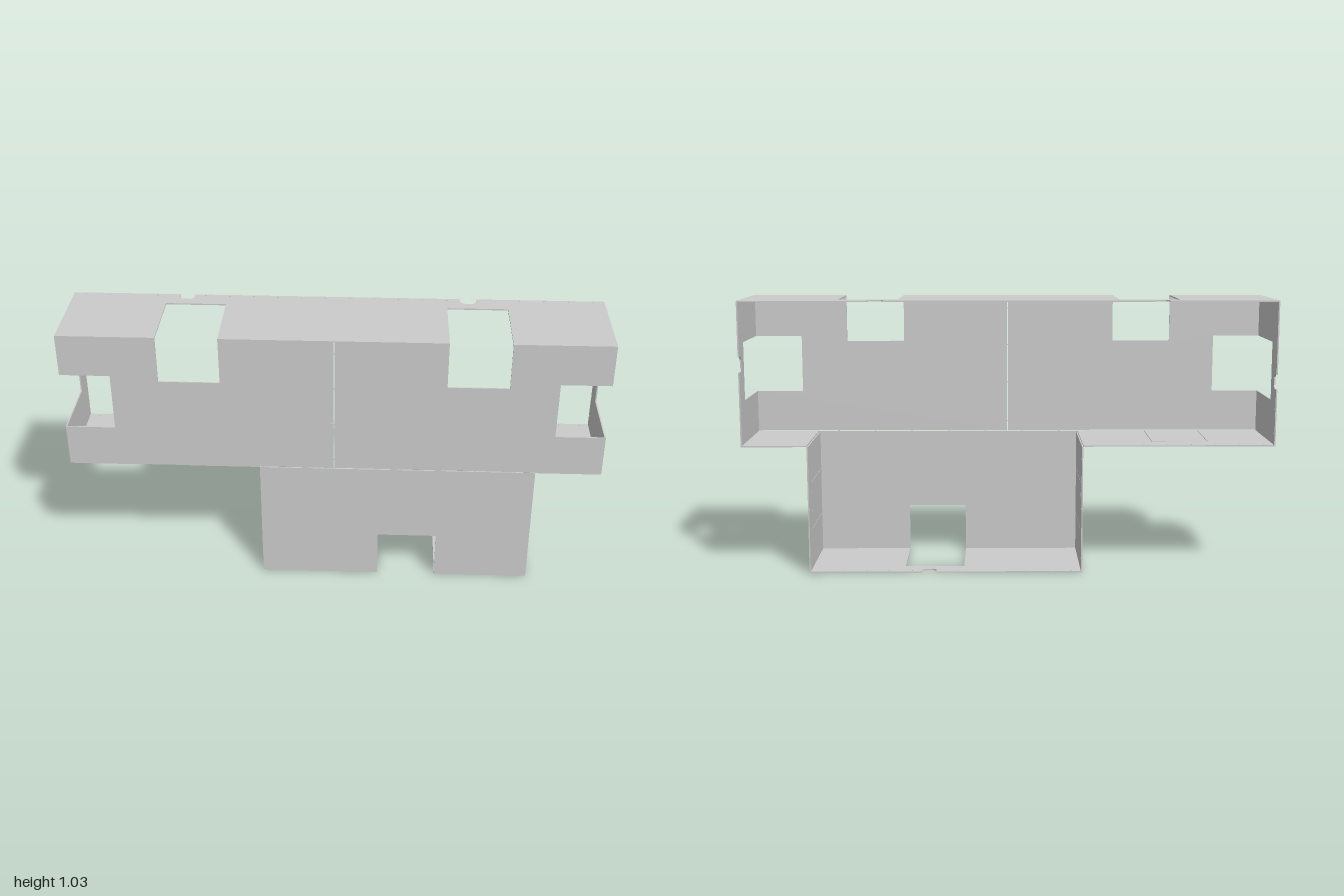
import * as THREE from 'three';

const D = 0.178;       // half depth
const T = 0.005;       // sheet thickness
const F = D - T;       // inner face of the front sheet
const GAP = 0.002;     // joint between sheets
const TOP = 1.03, MID = 0.49, LOW_L = -0.28, LOW_R = 0.755;

const material = new THREE.MeshStandardMaterial({ color: 0xcccccc, side: THREE.DoubleSide });

function sheet(points, holes = []) {
  const shape = new THREE.Shape(points.map(([x, y]) => new THREE.Vector2(x, y)));
  for (const [x, y] of holes) shape.holes.push(new THREE.Path().absarc(x, y, 0.003, 0, Math.PI * 2, true));
  return new THREE.ExtrudeGeometry(shape, { depth: T, bevelEnabled: false, curveSegments: 4 });
}

function addMesh(group, name, geometry) {
  const mesh = new THREE.Mesh(geometry, material);
  mesh.name = name;
  group.add(mesh);
  return mesh;
}

// Wall outline: u runs along the wall, v is z. Slots cut the back edge,
// windows and panels cut the front edge; a panel is refilled by a loose plate.
function wallGeometries(u0, u1, { windows = [], slots = [], panel = null, depth = -0.1 }) {
  const pts = [[u0, -D]];
  for (const [a, b] of slots) {
    const v = -0.14, c = 0.012;
    pts.push([a, -D], [a, v - c], [a + c, v], [b - c, v], [b, v - c], [b, -D]);
  }
  pts.push([u1, -D], [u1, F]);
  const cuts = panel ? [...windows, panel] : [...windows];
  cuts.sort((p, q) => q[0] - p[0]);
  for (const [a, b] of cuts) pts.push([b, F], [b, depth], [a, depth], [a, F]);
  pts.push([u0, F]);

  // pin holes along the back edge
  const pins = [];
  const count = Math.max(2, Math.round((u1 - u0) / 0.09));
  for (let i = 0; i < count; i++) {
    const u = u0 + (u1 - u0) * (i + 0.5) / count;
    if (!slots.some(([a, b]) => u > a - 0.01 && u < b + 0.01)) pins.push([u, -0.167]);
  }
  const out = [sheet(pts, pins)];
  if (panel) {
    const a = panel[0] + GAP, b = panel[1] - GAP, v0 = depth + GAP, v1 = F - GAP;
    out.push(sheet([[a, v0], [b, v0], [b, v1], [a, v1]]));
  }
  return out;
}

// Horizontal wall whose upper face is at y
function floorWall(group, name, y, x0, x1, options) {
  wallGeometries(x0, x1, options).forEach((g, i) => {
    g.rotateX(Math.PI / 2).translate(0, y, 0);
    addMesh(group, i ? name + 'Plate' : name, g);
  });
}

// Upright wall whose -x face is at x
function sideWall(group, name, x, y0, y1, options) {
  const m = new THREE.Matrix4().makeBasis(
    new THREE.Vector3(0, 1, 0), new THREE.Vector3(0, 0, 1), new THREE.Vector3(1, 0, 0));
  wallGeometries(y0, y1, options).forEach((g, i) => {
    g.applyMatrix4(m).translate(x, 0, 0);
    addMesh(group, i ? name + 'Plate' : name, g);
  });
}

export function createModel() {
  const model = new THREE.Group();
  model.name = 'openBackHousing';

  // Front sheets: two upper halves and one lower, with thin joints between
  const front = (name, pts) => addMesh(model, name, sheet(pts).translate(0, 0, F));
  const j = GAP;
  front('frontUpperLeft', [
    [j, MID + j], [1, MID + j], [1, 0.65], [0.815, 0.65], [0.815, 0.87], [1, 0.87],
    [1, TOP], [0.635, TOP], [0.635, 0.85], [0.41, 0.85], [0.41, TOP], [j, TOP]]);
  front('frontUpperRight', [
    [-1, MID + j], [-j, MID + j], [-j, TOP], [-0.415, TOP], [-0.415, 0.85], [-0.64, 0.85],
    [-0.64, TOP], [-1, TOP], [-1, 0.87], [-0.815, 0.87], [-0.815, 0.65], [-1, 0.65]]);
  front('frontLower', [
    [LOW_L, 0], [0.17, 0], [0.17, 0.185], [0.395, 0.185], [0.395, 0], [LOW_R, 0],
    [LOW_R, MID - j], [LOW_L, MID - j]]);

  // Top, wing undersides and base
  floorWall(model, 'topWall', TOP, -1, 1, {
    windows: [[-0.64, -0.415], [0.41, 0.635]], slots: [[-0.595, -0.54], [0.46, 0.52]] });
  floorWall(model, 'rightWingFloor', MID, -1, LOW_L, { panel: [-0.76, -0.545] });
  floorWall(model, 'leftWingFloor', MID, LOW_R, 1, {});
  floorWall(model, 'baseWall', T, LOW_L, LOW_R, {
    windows: [[0.17, 0.395]], slots: [[0.275, 0.33]] });

  // Wing ends and the sides of the lower box
  const end = { windows: [[0.65, 0.87]], depth: -0.09 };
  sideWall(model, 'leftEndWall', 1 - T, MID, TOP - T, { ...end, slots: [[0.765, 0.822]] });
  sideWall(model, 'rightEndWall', -1, MID, TOP - T, { ...end, slots: [[0.7, 0.755]] });
  const box = { panel: [0.155, 0.338], depth: -0.105 };
  sideWall(model, 'lowerLeftWall', LOW_R - T, T, MID - T, box);
  sideWall(model, 'lowerRightWall', LOW_L, T, MID - T, box);

  // Small pins bridging the front joints
  for (const y of [0.53, 0.685, 0.835, 0.98]) {
    addMesh(model, 'jointPin', new THREE.BoxGeometry(0.022, 0.004, T)).position.set(0, y, F + T / 2 + 0.0005);
  }
  for (let i = 0; i < 7; i++) {
    addMesh(model, 'jointPin', new THREE.BoxGeometry(0.004, 0.022, T))
      .position.set(-0.205 + i * 0.147, MID, F + T / 2 + 0.0005);
  }
  return model;
}
